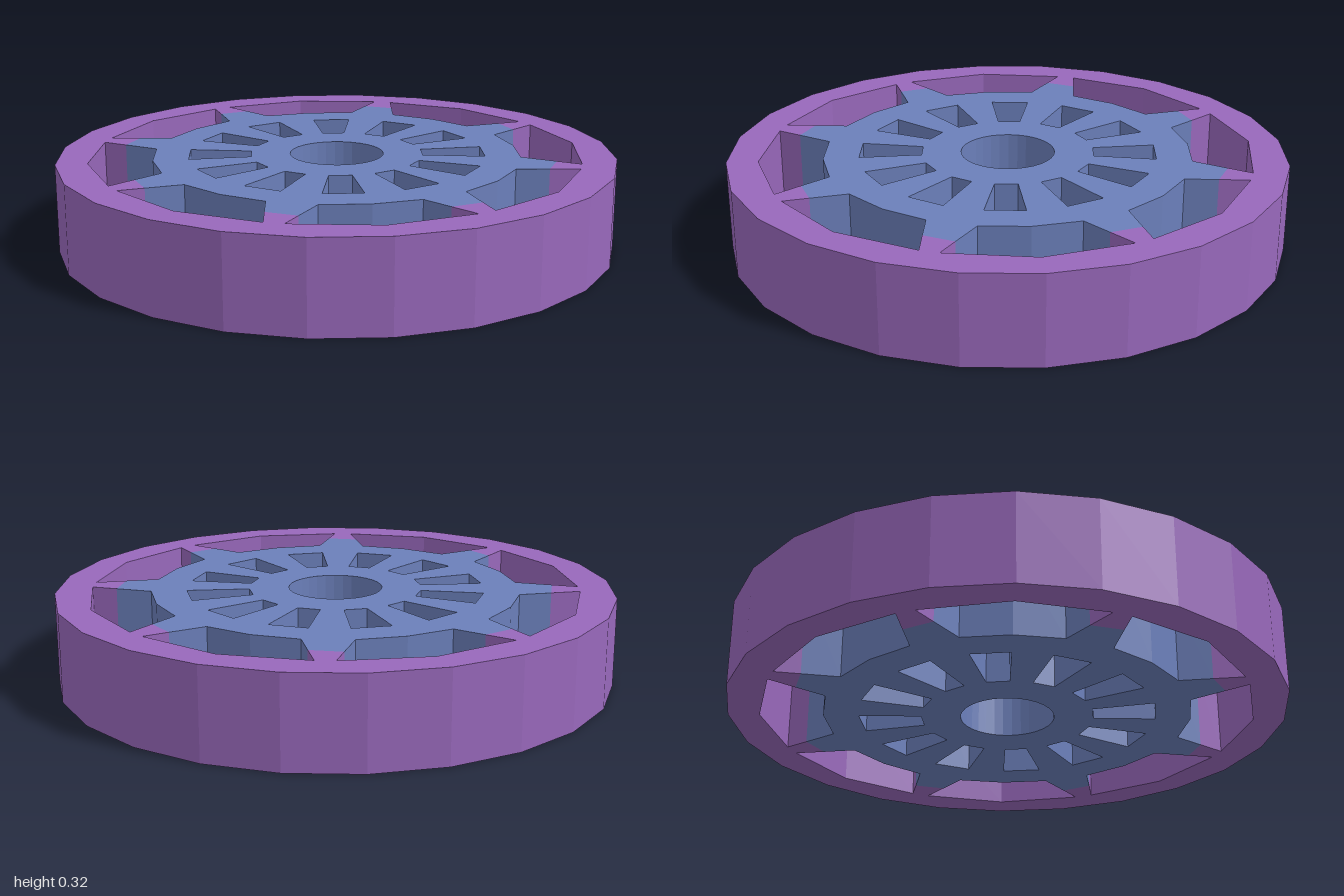
import * as THREE from 'three';

const HEIGHT = 0.32;
const SPOKES = 8;
const SLOTS = 12;

// Point from radius and angle in degrees
const polar = (r, deg) => {
  const a = THREE.MathUtils.degToRad(deg);
  return new THREE.Vector2(r * Math.cos(a), r * Math.sin(a));
};

const ring = (r, sides) => Array.from({ length: sides }, (_, i) => polar(r, (i * 360) / sides));

// Repeats a list of [radius, degrees] around the axle
const repeat = (profile, count) => {
  const points = [];
  for (let k = 0; k < count; k++) {
    for (const [r, deg] of profile) points.push(polar(r, deg + (k * 360) / count));
  }
  return points;
};

// Extrudes an outline with holes upwards from the ground
function plate(name, outline, holes, material) {
  const shape = new THREE.Shape(outline);
  shape.holes = holes.map((points) => new THREE.Path(points));
  const geometry = new THREE.ExtrudeGeometry(shape, { depth: HEIGHT, bevelEnabled: false });
  geometry.rotateX(-Math.PI / 2);
  const mesh = new THREE.Mesh(geometry, material);
  mesh.name = name;
  return mesh;
}

export function createModel() {
  const purple = new THREE.MeshStandardMaterial({ color: 0x9868bb });
  purple.name = 'purple';
  const blue = new THREE.MeshStandardMaterial({ color: 0x6b7fba });
  blue.name = 'blue';

  const group = new THREE.Group();
  group.name = 'wheel';

  // Both ends of the line where a spoke changes colour
  const seam = [[0.771, 3.1], [0.786, 11.5]];

  // Rim with the outer ends of the tapered spokes
  const rimInside = repeat([[0.875, 5.3], ...seam, [0.875, 9.7], [0.887, 30]], SPOKES);
  group.add(plate('rim', ring(1, 24), [rimInside], purple));

  // Hub with the spoke roots, an axle hole and radial slots
  const hubOutline = repeat([[0.66, 0], ...seam, [0.66, 15], [0.66, 30]], SPOKES);
  const holes = [ring(0.168, 32)];
  for (let i = 0; i < SLOTS; i++) {
    const a = (i * 360) / SLOTS;
    holes.push([polar(0.31, a - 15), polar(0.533, a - 15), polar(0.533, a), polar(0.31, a)]);
  }
  group.add(plate('hub', hubOutline, holes, blue));

  return group;
}
